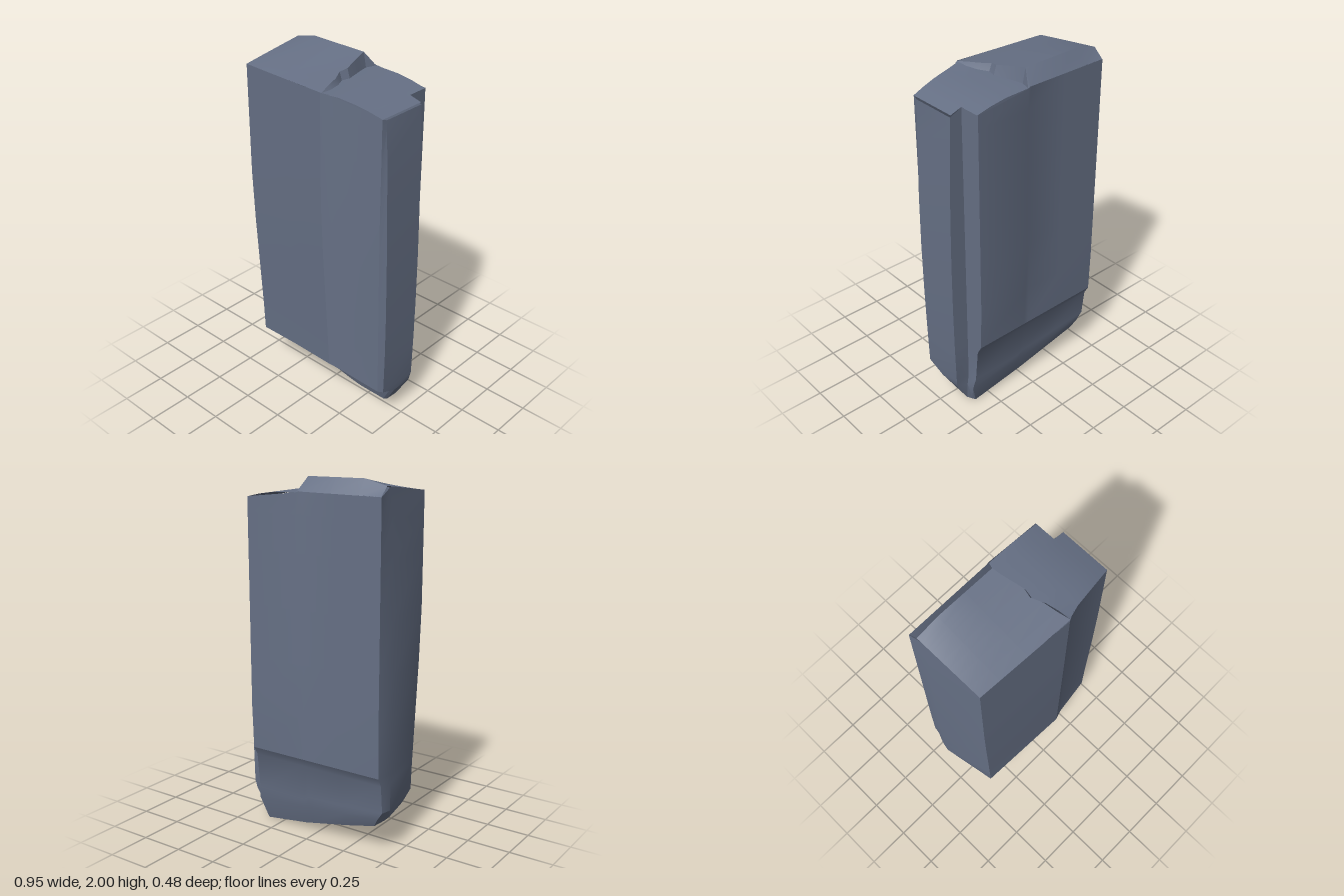
import * as THREE from 'three';
import { toCreasedNormals } from 'three/addons/utils/BufferGeometryUtils.js';

// Plan outline [x, z], counter-clockwise from the front corner at -x; it has a notch at the +x back corner
const plan = [
  [-0.44, 0.21], [-0.15, 0.225], [0.11, 0.24], [0.155, 0.215], [0.445, 0.168], [0.475, 0.14], [0.475, -0.12],
  [0.38, -0.12], [0.378, -0.24], [0.06, -0.24], [0.03, -0.23], [-0.2, -0.232], [-0.455, -0.235], [-0.475, -0.13],
];
// Height of the overhanging lip under each outline point
const lipY = [0.25, 0.27, 0.28, 0.26, 0.21, 0.2, 0.2, 0.2, 0.2, 0.2, 0.22, 0.23, 0.25, 0.25];
// Top and bottom of the thin foot below the lip, [x, y, z]
const footTop = [
  [-0.41, 0.2, 0.1], [-0.15, 0.19, 0.07], [0.11, 0.17, 0.05], [0.19, 0.165, 0.04], [0.44, 0.15, 0.03],
  [0.46, 0.15, 0.02], [0.46, 0.15, -0.11], [0.39, 0.13, -0.12], [0.39, 0.13, -0.17], [0.06, 0.15, -0.175],
  [0.03, 0.16, -0.175], [-0.2, 0.18, -0.18], [-0.42, 0.2, -0.18], [-0.45, 0.2, -0.1],
];
const footBottom = [
  [-0.39, 0.15, 0.02], [-0.15, 0.09, 0.01], [0.11, 0.03, 0], [0.19, 0.02, 0], [0.36, 0.01, -0.01],
  [0.38, 0.015, -0.02], [0.38, 0.01, -0.1], [0.36, 0, -0.12], [0.35, 0, -0.14], [0.06, 0.04, -0.14],
  [0.03, 0.05, -0.145], [-0.2, 0.1, -0.15], [-0.39, 0.15, -0.16], [-0.41, 0.16, -0.08],
];
const BACK = -0.235;
const { lerp, clamp } = THREE.MathUtils;

// Piecewise linear lookup through [key, value] pairs
function sample(pairs, k) {
  for (let i = 1; i < pairs.length; i++) {
    const [k0, v0] = pairs[i - 1], [k1, v1] = pairs[i];
    if (k <= k1) return lerp(v0, v1, clamp((k - k0) / (k1 - k0), 0, 1));
  }
  return pairs[pairs.length - 1][1];
}
const frontZ = (x) => sample(plan.slice(0, 5), x);

// Jagged break across the top; v runs from 0 at the front to 1 at the back
const breakX = (v) => sample([[0, 0.125], [0.15, 0.105], [0.3, 0.09], [0.42, 0.062], [0.52, 0.072],
  [0.66, 0.055], [0.78, 0.04], [0.875, 0.032], [1, 0.05]], v);

// Top surface: a tilted plateau on the -x side, a lower rounded shoulder on the +x side
function topY(x, v, high = x < breakX(v)) {
  if (!high) return 1.915 - 0.06 * (Math.max(0, x - 0.1) / 0.35) ** 2;
  const crest = sample([[-0.45, 0.05], [-0.32, 0.08], [0.04, 0.075]], x);
  return 1.92 + crest * sample([[0, 0], [0.875, 1], [1, 0]], v);
}

// Outline at height y: ends bow outwards, front leans in and the back layer stops at a ledge
function sectionPoint([x, z], i, y) {
  const bow = 1 - 0.06 * ((y - 0.8) / 1.1) ** 2;
  const low = clamp((1.2 - y) / 0.9, 0, 1);
  let px = Math.abs(x) > 0.465 ? x * bow : x;
  if (i === 0) px += 0.03 * low;
  if (i === 2) px += 0.03 * low;
  if (i === 3) px += 0.045 * low;
  let pz = z > 0 ? z * (1 - 0.1 * low) : z;
  if (z < -0.2) pz = Math.max(z, sample([[0.2, -0.182], [0.41, -0.203], [0.46, -0.23], [0.7, -0.24]], y));
  return [px, y, pz];
}

function stoneGeometry() {
  const out = [];
  const tri = (a, b, c) => out.push(...a, ...b, ...c);
  const quad = (a, b, c, d) => { tri(a, b, c); tri(a, c, d); };

  // Stack of sections from the foot to the top rim
  const rows = [footBottom, footTop, plan.map((p, i) => sectionPoint(p, i, lipY[i]))];
  for (const y of [0.41, 0.46, 0.7, 1.0, 1.3, 1.6, 1.8]) rows.push(plan.map((p, i) => sectionPoint(p, i, y)));
  rows.push(plan.map((p, i) => {
    const f = frontZ(p[0]);
    const v = clamp((f - p[1]) / (f - BACK), 0, 1);
    return sectionPoint(p, i, topY(p[0], v));
  }));
  const n = plan.length;
  for (let r = 0; r < rows.length - 1; r++) {
    for (let i = 0; i < n; i++) {
      const j = (i + 1) % n;
      quad(rows[r][i], rows[r][j], rows[r + 1][j], rows[r + 1][i]);
    }
  }

  // Underside fan
  const centre = [0, 0.075, -0.07];
  for (let i = 0; i < n; i++) tri(centre, footBottom[(i + 1) % n], footBottom[i]);

  // Top grid with the step along the break and the notch at the back
  const steps = [0, 0.15, 0.3, 0.42, 0.52, 0.66, 0.715, 0.716, 0.78, 0.875, 1];
  const grid = steps.map((v) => {
    const bx = breakX(v);
    const end = v > 0.7155 ? 0.379 : 0.446;
    const cols = [[-0.44 - 0.013 * v, true], [-0.32, true], [-0.15, true], [bx - 0.008, true],
      [bx + 0.008, false], [0.2, false], [0.3, false], [Math.min(0.379, end), false], [end, false]];
    return cols.map(([x, high]) => [x, topY(x, v, high), lerp(frontZ(x), BACK, v)]);
  });
  for (let r = 0; r < grid.length - 1; r++) {
    for (let c = 0; c < grid[r].length - 1; c++) {
      quad(grid[r][c], grid[r][c + 1], grid[r + 1][c + 1], grid[r + 1][c]);
    }
  }

  const geometry = new THREE.BufferGeometry();
  geometry.setAttribute('position', new THREE.Float32BufferAttribute(out, 3));
  return toCreasedNormals(geometry, 0.4);
}

export function createModel() {
  const group = new THREE.Group();
  group.name = 'standingStone';
  const stone = new THREE.Mesh(
    stoneGeometry(),
    new THREE.MeshStandardMaterial({ color: 0x667085, side: THREE.DoubleSide }),
  );
  stone.name = 'stoneSlab';
  group.add(stone);
  return group;
}
